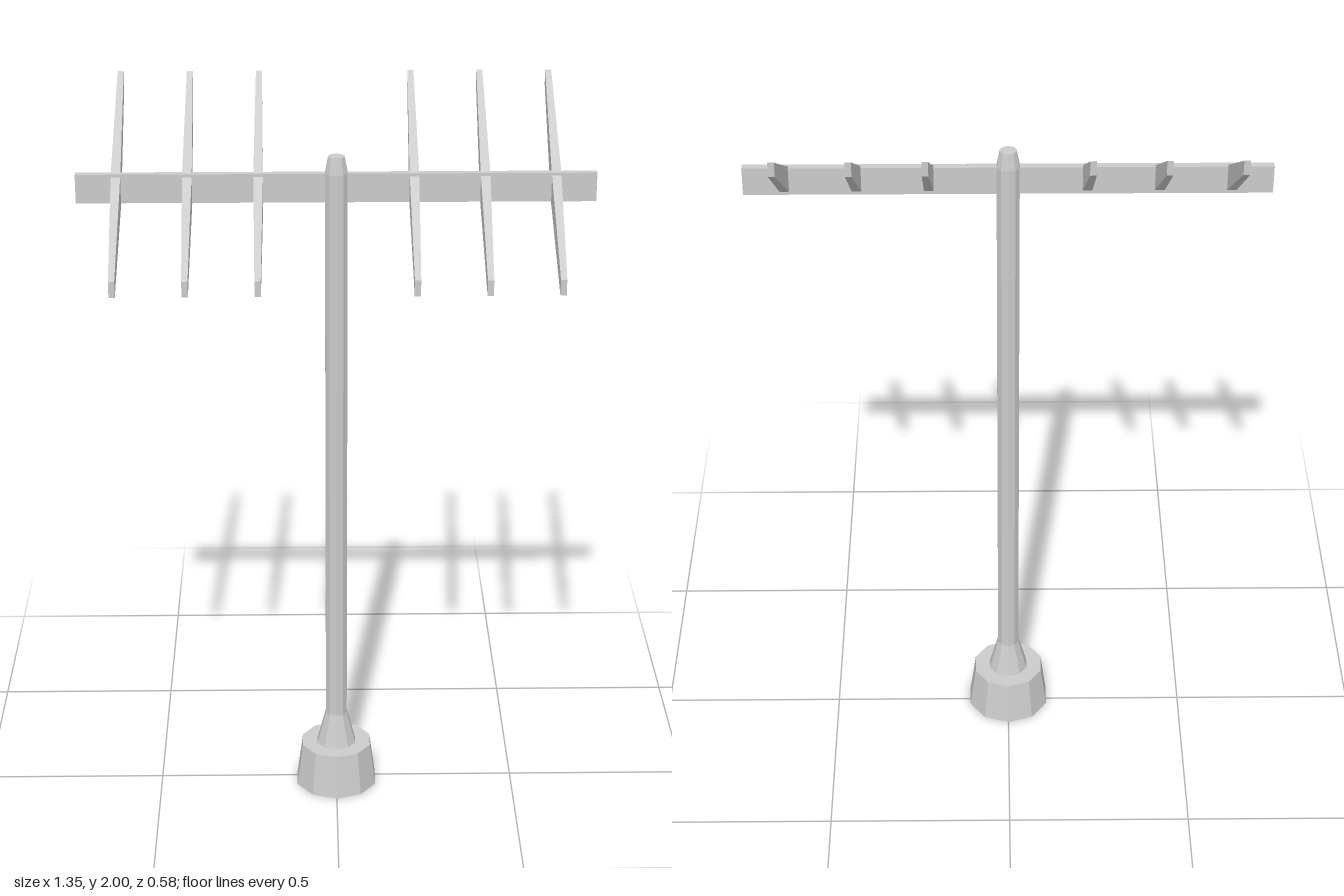
import * as THREE from 'three';

const AXIS_Z = 0.015; // the mast stands slightly forward of centre

export function createModel() {
  const group = new THREE.Group();
  group.name = 'antenna';
  const material = new THREE.MeshStandardMaterial({
    color: 0xcccccc, flatShading: true, side: THREE.DoubleSide,
  });

  const add = (name, geometry, x, y, z) => {
    const mesh = new THREE.Mesh(geometry, material);
    mesh.name = name;
    mesh.position.set(x, y, z);
    group.add(mesh);
    return mesh;
  };

  const lathe = (points) =>
    new THREE.LatheGeometry(points.map(([r, y]) => new THREE.Vector2(r, y)), 10);

  // Ten-sided foot, open underneath, with a ledge and a tapered collar
  add('foot', lathe([[0.117, 0], [0.1, 0.125], [0.056, 0.125], [0.031, 0.22]]), 0, 0, AXIS_Z);

  // Mast with a chamfered top
  add('mast', lathe([[0.031, 0.22], [0.031, 1.81], [0.022, 1.855], [0, 1.855]]), 0, 0, AXIS_Z);

  // Horizontal boom
  add('boom', new THREE.BoxGeometry(1.35, 0.077, 0.02), 0, 1.772, AXIS_Z);

  // Slanted blade, deepest and thickest where it crosses the boom
  const blade = new THREE.BoxGeometry(1, 1, 2, 1, 1, 2);
  const sections = {
    '-1': { z: -0.29, low: 1.96, high: 2.0, half: 0.008 },
    '0': { z: AXIS_Z, low: 1.735, high: 1.81, half: 0.0125 },
    '1': { z: 0.29, low: 1.57, high: 1.612, half: 0.008 },
  };
  const p = blade.attributes.position;
  for (let i = 0; i < p.count; i++) {
    const s = sections[Math.round(p.getZ(i))];
    p.setXYZ(i, Math.sign(p.getX(i)) * s.half, p.getY(i) > 0 ? s.high : s.low, s.z);
  }
  blade.computeVertexNormals();

  // Three blades on each side of the mast
  for (const side of [-1, 1]) {
    [0.202, 0.386, 0.57].forEach((x, i) => {
      add(`${side > 0 ? 'left' : 'right'}Blade${i + 1}`, blade, side * x, 0, 0);
    });
  }

  return group;
}
